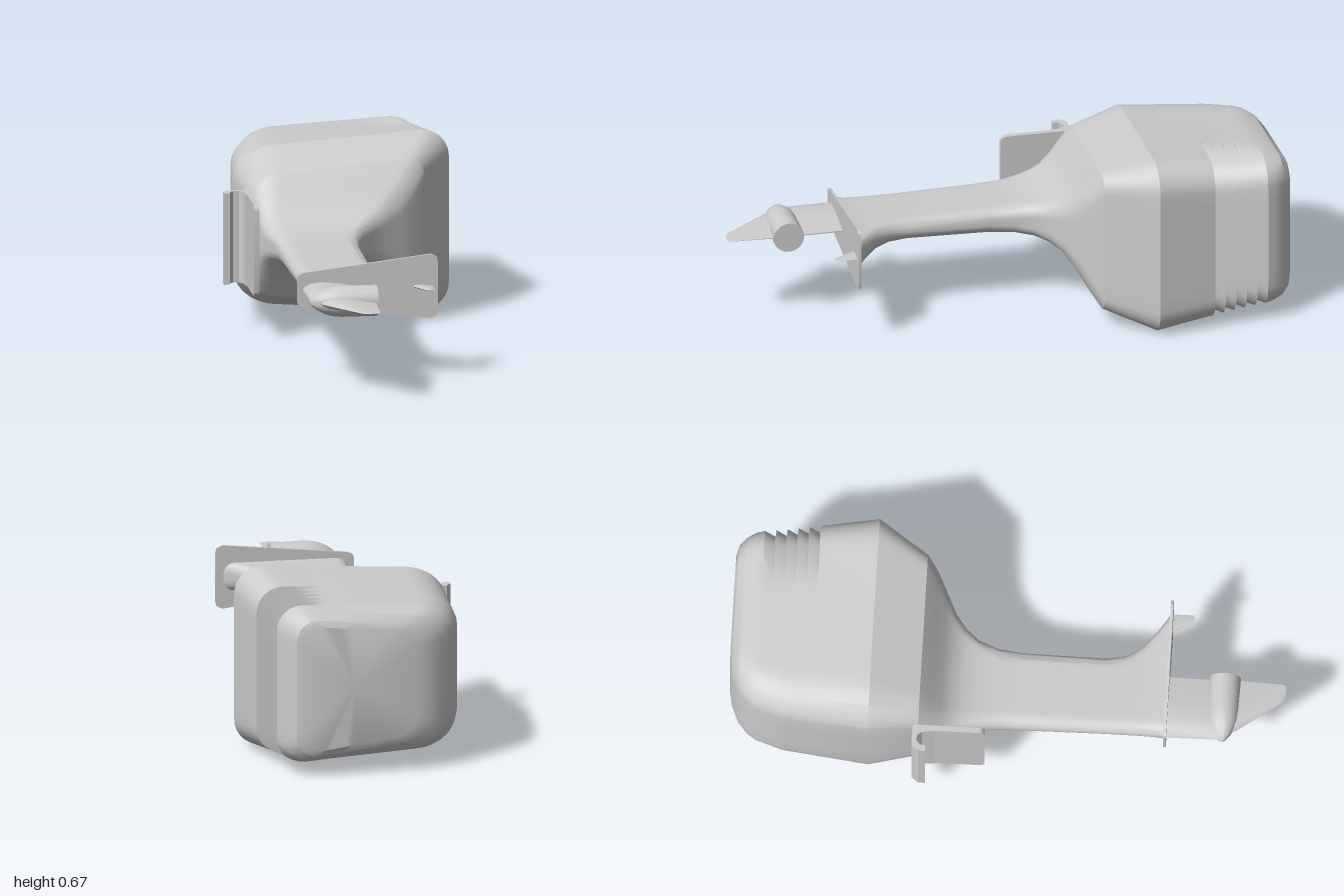
import * as THREE from 'three';
import { toCreasedNormals } from 'three/addons/utils/BufferGeometryUtils.js';

const MID = 0.334; // height of the motor's plane of symmetry
const material = new THREE.MeshStandardMaterial({ color: 0xcccccc, side: THREE.DoubleSide });

function part(name, geometry, crease = 0.45) {
  const mesh = new THREE.Mesh(toCreasedNormals(geometry, crease), material);
  mesh.name = name;
  return mesh;
}

// Skin a list of equal-length closed rings, with fan caps at both ends
function loft(rings) {
  const n = rings[0].length, pos = [], index = [];
  rings.forEach(r => r.forEach(p => pos.push(p.x, p.y, p.z)));
  for (let i = 0; i < rings.length - 1; i++) {
    for (let j = 0; j < n; j++) {
      const k = (j + 1) % n, a = i * n + j, b = i * n + k;
      index.push(a, b, b + n, a, b + n, a + n);
    }
  }
  [0, rings.length - 1].forEach((i, end) => {
    const c = rings[i].reduce((s, p) => s.add(p), new THREE.Vector3()).divideScalar(n);
    const ci = pos.length / 3;
    pos.push(c.x, c.y, c.z);
    for (let j = 0; j < n; j++) {
      const a = i * n + j, b = i * n + (j + 1) % n;
      if (end) index.push(ci, a, b); else index.push(ci, b, a);
    }
  });
  const g = new THREE.BufferGeometry();
  g.setAttribute('position', new THREE.Float32BufferAttribute(pos, 3));
  g.setIndex(index);
  return g;
}

// Rounded trapezoid across z: left/right x, left/right half height, corner radii
function section([z, xl, xr, hl, hr, rl, rr], pull = 0) {
  const half = [], yr = Math.min(rr, hr), yl = Math.min(rl * 0.8, hl);
  for (let i = 0; i < 4; i++) half.push([xr, (hr - yr) * i / 4]);
  for (let i = 0; i <= 7; i++) {
    const a = Math.PI / 2 * i / 7;
    half.push([xr - rr + rr * Math.cos(a), hr - yr + yr * Math.sin(a)]);
  }
  for (let i = 1; i < 12; i++) {
    const t = i / 12;
    half.push([THREE.MathUtils.lerp(xr - rr, xl + rl, t), THREE.MathUtils.lerp(hr, hl, t)]);
  }
  for (let i = 0; i <= 7; i++) {
    const a = Math.PI / 2 * (1 + i / 7);
    half.push([xl + rl + rl * Math.cos(a), hl - yl + yl * Math.sin(a)]);
  }
  half.push([xl, (hl - yl) / 2], [xl, 0]);
  // the louvres pull in only the right-hand part of the section
  const pts = half.map(([x, y]) => [
    x - pull * THREE.MathUtils.smoothstep(x, 0.25, 0.38),
    y * (1 - pull / hr * THREE.MathUtils.smoothstep(x, 0.12, 0.3)),
  ]);
  const mirror = pts.slice(1, -1).reverse().map(([x, y]) => [x, -y]);
  return [...pts, ...mirror].map(([x, y]) => new THREE.Vector3(x, MID + y, z));
}

// Thin foil across z, blunt towards -x and sharp towards +x
function foil([z, x0, x1, t]) {
  const profile = [[0, 0], [0.03, 0.4], [0.12, 0.8], [0.3, 1], [0.6, 0.75], [1, 0.08]];
  const lower = profile.slice(1).map(([u, v]) => [u, -v]);
  const upper = profile.slice(1).reverse();
  return [[0, 0], ...lower, ...upper].map(([u, v]) => new THREE.Vector3(x0 + (x1 - x0) * u, MID + v * t, z));
}

function shapeOf(points) {
  return new THREE.Shape(points.map(([x, y]) => new THREE.Vector2(x, y)));
}

export function createModel() {
  const group = new THREE.Group();

  // Engine cowl: rounded end, louvres, widest ring, tapered front
  const rear = [
    [-1, -0.13, 0.28, 0.2, 0.23, 0.1, 0.07],
    [-0.99, -0.18, 0.31, 0.225, 0.253, 0.11, 0.075],
    [-0.965, -0.235, 0.335, 0.25, 0.275, 0.12, 0.08],
    [-0.93, -0.275, 0.355, 0.263, 0.285, 0.13, 0.085],
  ];
  const ventStart = [-0.9, -0.297, 0.363, 0.268, 0.29, 0.14, 0.09];
  const ventMid = [-0.8, -0.33, 0.375, 0.275, 0.297, 0.15, 0.09];
  const ventEnd = [-0.7, -0.342, 0.389, 0.282, 0.308, 0.16, 0.095];
  const front = [
    [-0.49, -0.365, 0.42, 0.295, 0.333, 0.17, 0.1],
    [-0.31, -0.33, 0.305, 0.228, 0.267, 0.12, 0.06],
  ];
  const mix = (a, b, t) => a.map((v, i) => THREE.MathUtils.lerp(v, b[i], t));
  const vent = t => (t < 0.5 ? mix(ventStart, ventMid, t * 2) : mix(ventMid, ventEnd, t * 2 - 1));
  const cowl = rear.map(s => section(s));
  const teeth = 5;
  for (let i = 0; i < teeth; i++) {
    cowl.push(section(vent(i / teeth)));
    cowl.push(section(vent((i + 0.55) / teeth), 0.012));
    cowl.push(section(vent((i + 0.93) / teeth), 0.02));
  }
  cowl.push(section(ventEnd), ...front.map(s => section(s)));
  group.add(part('cowl', loft(cowl), 0.4));

  // Neck and leg, flaring out again towards the plate
  const leg = [
    [-0.31, -0.33, 0.305, 0.228, 0.267, 0.12, 0.06],
    [-0.27, -0.318, 0.265, 0.175, 0.205, 0.1, 0.06],
    [-0.235, -0.308, 0.21, 0.125, 0.145, 0.08, 0.06],
    [-0.2, -0.3, 0.145, 0.09, 0.1, 0.07, 0.05],
    [-0.16, -0.288, 0.095, 0.07, 0.077, 0.06, 0.045],
    [-0.11, -0.276, 0.056, 0.056, 0.062, 0.05, 0.04],
    [-0.04, -0.267, 0.032, 0.046, 0.052, 0.05, 0.04],
    [0.05, -0.265, 0.022, 0.042, 0.047, 0.05, 0.04],
    [0.35, -0.262, 0.022, 0.036, 0.04, 0.05, 0.04],
    [0.42, -0.262, 0.036, 0.036, 0.04, 0.05, 0.04],
    [0.48, -0.262, 0.075, 0.037, 0.042, 0.05, 0.04],
    [0.53, -0.263, 0.14, 0.04, 0.044, 0.05, 0.04],
    [0.575, -0.265, 0.205, 0.045, 0.052, 0.05, 0.04],
  ];
  group.add(part('leg', loft(leg.map(s => section(s))), 0.5));

  // Flat plate across the bottom of the leg
  const plateHalf = [[0.227, 0.09], [0.222, 0.108], [0.203, 0.118], [-0.26, 0.063], [-0.279, 0.056], [-0.285, 0.045]];
  const plateShape = shapeOf([...plateHalf, ...plateHalf.map(([x, y]) => [x, -y]).reverse()]);
  const plate = part('cavitationPlate', new THREE.ExtrudeGeometry(plateShape, { depth: 0.01, bevelEnabled: false }));
  plate.position.set(0, MID, 0.57);
  group.add(plate);

  // Foils below the plate
  const foils = {
    strut: [[0.575, -0.265, -0.035, 0.027], [0.78, -0.262, -0.035, 0.027]],
    trimTab: [[0.575, 0.135, 0.207, 0.007], [0.63, 0.165, 0.208, 0.005], [0.655, 0.178, 0.207, 0.003]],
    skeg: [[0.78, -0.25, -0.03, 0.025], [0.83, -0.225, -0.033, 0.019], [0.96, -0.13, -0.038, 0.006],
      [0.99, -0.107, -0.039, 0.003], [1, -0.085, -0.045, 0.001]],
  };
  for (const [name, rows] of Object.entries(foils)) group.add(part(name, loft(rows.map(foil)), 0.6));

  // Bullet-shaped gearcase with a flat end
  const bullet = [[0, -0.27], [0.012, -0.264], [0.028, -0.245], [0.042, -0.22], [0.052, -0.19], [0.056, -0.155], [0.056, -0.025], [0, -0.025]];
  const gearcase = part('gearcase', new THREE.LatheGeometry(bullet.map(([r, x]) => new THREE.Vector2(r, x)), 32), 0.6);
  gearcase.rotation.z = -Math.PI / 2;
  gearcase.position.set(0, MID, 0.78);
  group.add(gearcase);

  // Mounting bracket: a clamp hook and a plate with rounded lower corners
  const hook = [[-0.427, 0.28], [-0.427, 0.305], [-0.408, 0.33], [-0.335, 0.33], [-0.328, 0.32], [-0.328, 0.25],
    [-0.35, 0.25], [-0.355, 0.295], [-0.368, 0.312], [-0.39, 0.312], [-0.403, 0.3], [-0.405, 0.28]];
  const hookMesh = part('bracketHook', new THREE.ExtrudeGeometry(shapeOf(hook), { depth: 0.337, bevelEnabled: false }));
  hookMesh.rotation.x = -Math.PI / 2;
  hookMesh.position.y = 0.165;
  group.add(hookMesh);

  const r = 0.025, z0 = -0.31, z1 = -0.07, y0 = 0.165, y1 = 0.502;
  const side = new THREE.Shape();
  side.moveTo(z0, y0);
  side.lineTo(z1 - r, y0);
  side.quadraticCurveTo(z1, y0, z1, y0 + r);
  side.lineTo(z1, y1 - r);
  side.quadraticCurveTo(z1, y1, z1 - r, y1);
  side.lineTo(z0, y1);
  const sideMesh = part('bracketPlate', new THREE.ExtrudeGeometry(side, { depth: 0.02, bevelEnabled: false, curveSegments: 5 }));
  sideMesh.rotation.y = -Math.PI / 2;
  sideMesh.position.x = -0.328;
  group.add(sideMesh);

  return group;
}
